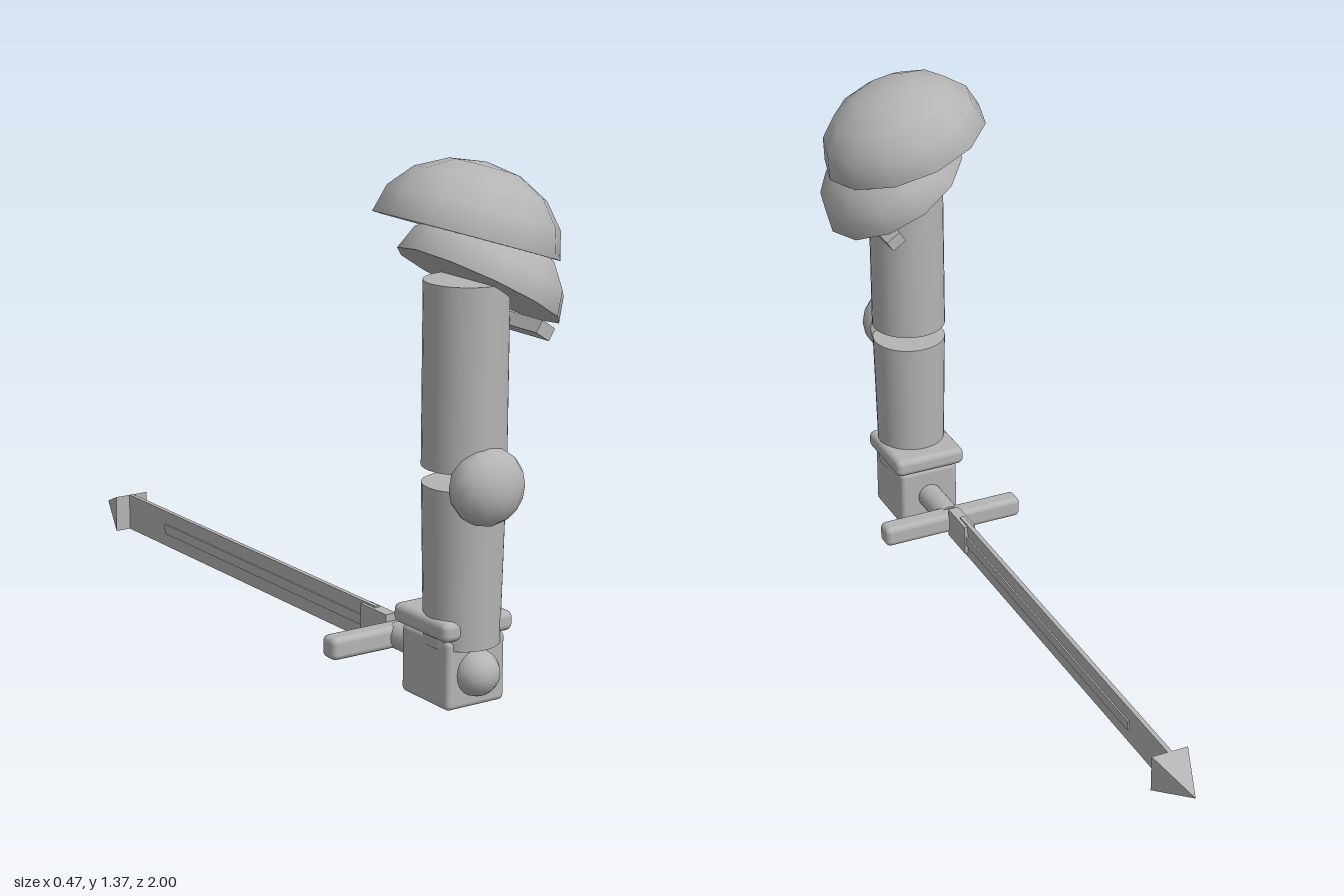
import * as THREE from 'three';
import { RoundedBoxGeometry } from 'three/addons/geometries/RoundedBoxGeometry.js';

const CX = -0.008; // arm axis
const CZ = 0.773;
const CY = 0.092; // sword axis height
const rad = THREE.MathUtils.degToRad;

export function createModel() {
  const model = new THREE.Group();
  const steel = new THREE.MeshStandardMaterial({ color: 0xb4b4b4 });
  steel.name = 'steel grey';

  function add(name, geometry, x, y, z, parent = model) {
    const mesh = new THREE.Mesh(geometry, steel);
    mesh.name = name;
    mesh.position.set(x, y, z);
    parent.add(mesh);
    return mesh;
  }

  // Flattened dome with a closed base; its pole points along +y
  function dome(name, rx, height, rz, segments, rings, theta) {
    const group = new THREE.Group();
    group.name = name;
    const shell = new THREE.SphereGeometry(1, segments, rings, 0, Math.PI * 2, 0, theta);
    add(name + 'Shell', shell.scale(rx, height, rz), 0, 0, 0, group);
    const base = new THREE.CircleGeometry(Math.sin(theta), segments).rotateX(Math.PI / 2);
    add(name + 'Base', base.scale(rx, 1, rz), 0, height * Math.cos(theta), 0, group);
    model.add(group);
    return group;
  }

  // Shoulder plates, overlapping and tilted outwards
  const upperPlate = dome('upperShoulderPlate', 0.24, 0.185, 0.229, 12, 4, Math.PI / 2);
  upperPlate.position.set(-0.007, 1.175, 0.771);
  upperPlate.rotation.z = rad(-17.9);
  const lowerPlate = dome('lowerShoulderPlate', 0.218, 0.168, 0.22, 12, 4, Math.PI / 2);
  lowerPlate.position.set(0.029, 1.05, 0.773);
  lowerPlate.rotation.z = rad(-29.8);
  const strap = add('shoulderStrap', new THREE.BoxGeometry(0.046, 0.034, 0.356), 0.099, 0.962, 0.772);
  strap.rotation.z = rad(-33);

  // Arm
  add('upperArm', new THREE.CylinderGeometry(0.106, 0.106, 0.463, 32), CX, 0.8385, 0.775);
  add('forearm', new THREE.CylinderGeometry(0.105, 0.096, 0.408, 32), CX, 0.359, 0.775);
  const elbow = dome('elbowGuard', 0.101, 0.077, 0.1, 16, 6, Math.PI * 0.625);
  elbow.position.set(CX, 0.573, 0.869);
  elbow.rotation.x = Math.PI / 2;

  // Wrist and fist
  add('wristCuff', new RoundedBoxGeometry(0.213, 0.052, 0.225, 3, 0.018), CX, 0.207, 0.738);
  add('fist', new RoundedBoxGeometry(0.178, 0.18, 0.198, 3, 0.014), CX, 0.09, 0.74);

  // Sword hilt
  add('pommel', new THREE.SphereGeometry(0.06, 16, 12), CX, 0.089, 0.838);
  add('grip', new THREE.CylinderGeometry(0.036, 0.036, 0.16, 20).rotateX(Math.PI / 2), CX, CY, 0.58);
  add('crossguard', new RoundedBoxGeometry(0.424, 0.06, 0.058, 3, 0.016), CX, CY, 0.493);

  // Sword blade with a raised central rib and a pyramid point
  add('bladeCollar', new THREE.BoxGeometry(0.032, 0.087, 0.115), CX, 0.096, 0.414);
  add('blade', new THREE.BoxGeometry(0.013, 0.104, 1.27), CX, CY, -0.225);
  add('bladeRib', new THREE.BoxGeometry(0.022, 0.028, 1.01), CX, CY, -0.145);
  const point = new THREE.ConeGeometry(0.0735, 0.14, 4).toNonIndexed();
  point.computeVertexNormals();
  point.rotateY(Math.PI / 4).rotateX(-Math.PI / 2);
  add('bladePoint', point, CX, CY, -0.93);

  return model;
}
